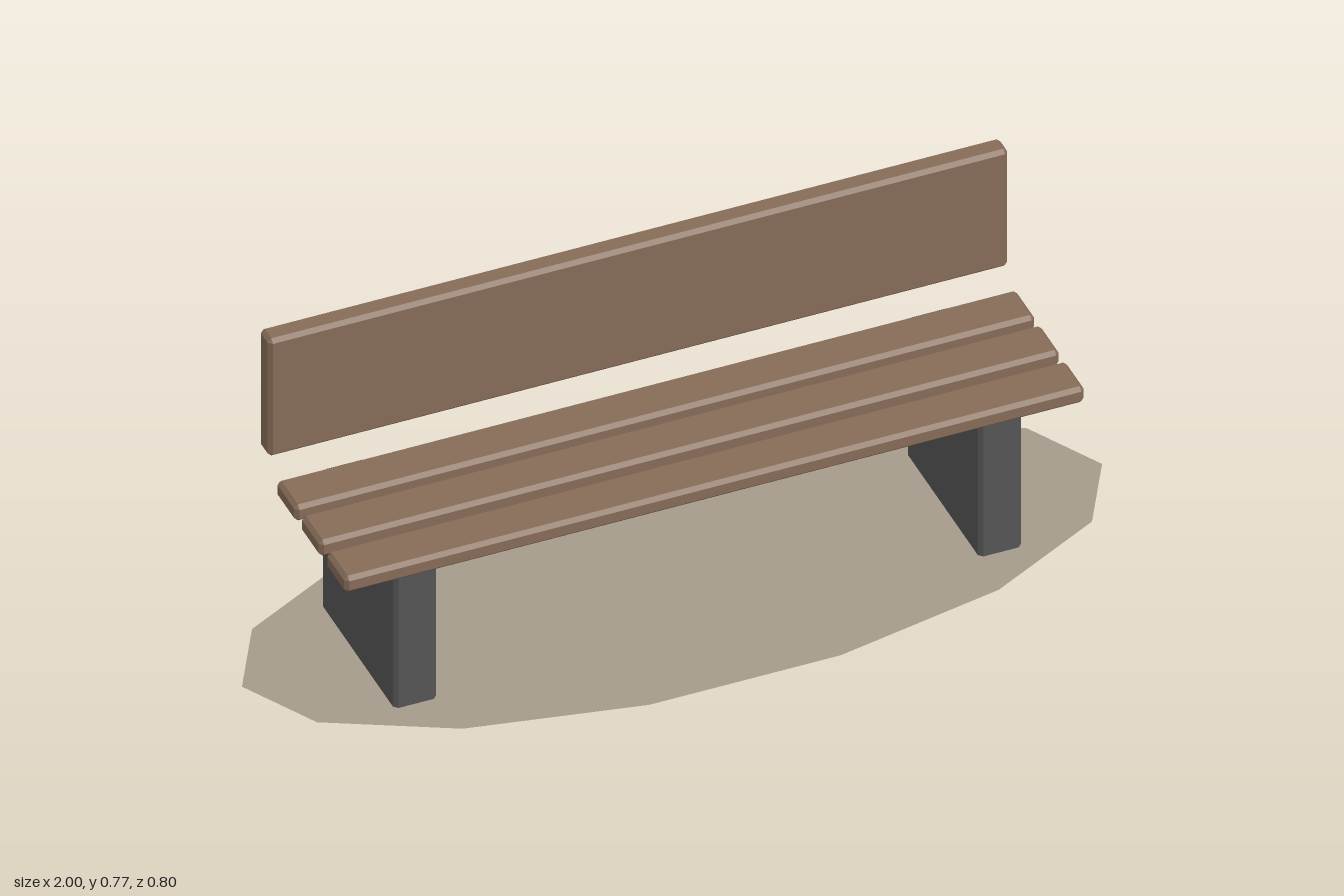
import * as THREE from 'three';
import { ConvexGeometry } from 'three/addons/geometries/ConvexGeometry.js';

// Box given by its minimum and maximum corners, with chamfered edges.
// With flatTop the upper edges stay sharp.
function chamferBox(min, max, r, flatTop = false) {
  const pts = [];
  for (const i of [0, 1]) for (const j of [0, 1]) for (const k of [0, 1]) {
    const side = [i, j, k];
    const corner = side.map((s, a) => (s ? max[a] : min[a]));
    const inset = side.map((s) => (s ? -r : r));
    if (flatTop && j) inset[1] = 0;
    for (let axis = 0; axis < 3; axis++) {
      // each chamfered corner keeps one coordinate on the full face
      const p = corner.map((c, a) => (a === axis ? c : c + inset[a]));
      pts.push(new THREE.Vector3(...p));
    }
  }
  return new ConvexGeometry(pts);
}

export function createModel() {
  const wood = new THREE.MeshStandardMaterial({ color: 0x876c58 });
  wood.name = 'wood';
  const concrete = new THREE.MeshStandardMaterial({ color: 0x565656 });
  concrete.name = 'darkConcrete';
  const earth = new THREE.MeshStandardMaterial({ color: 0xa59b8b, side: THREE.DoubleSide });
  earth.name = 'earth';

  const bench = new THREE.Group();
  bench.name = 'bench';
  const add = (name, geometry, material) => {
    const mesh = new THREE.Mesh(geometry, material);
    mesh.name = name;
    bench.add(mesh);
    return mesh;
  };

  // Flat oval patch of ground, with the feet reaching just through it
  const patch = add('groundPatch', new THREE.CircleGeometry(1, 14), earth);
  patch.rotation.x = -Math.PI / 2;
  patch.scale.y = 0.41;
  patch.position.y = 0.012;

  // Seat slats, front to back
  for (const z of [0.183, 0.045, -0.089]) {
    add('seatSlat', chamferBox([-0.86, 0.385, z - 0.054], [0.86, 0.428, z + 0.054], 0.009), wood);
  }

  // Backrest board
  add('backrest', chamferBox([-0.86, 0.457, -0.235], [0.86, 0.773, -0.181], 0.009), wood);

  // Leg blocks, each with a small raised lip along its back top edge
  for (const [side, x] of [['left', 0.68], ['right', -0.68]]) {
    add(side + 'Leg', chamferBox([x - 0.05, 0, -0.2], [x + 0.05, 0.373, 0.2], 0.009, true), concrete);
    const lip = [];
    for (const dx of [-0.041, 0.041]) {
      for (const [y, z] of [[0.371, -0.2], [0.371, -0.19], [0.381, -0.191]]) {
        lip.push(new THREE.Vector3(x + dx, y, z));
      }
    }
    add(side + 'LegLip', new ConvexGeometry(lip), concrete);
  }

  return bench;
}
